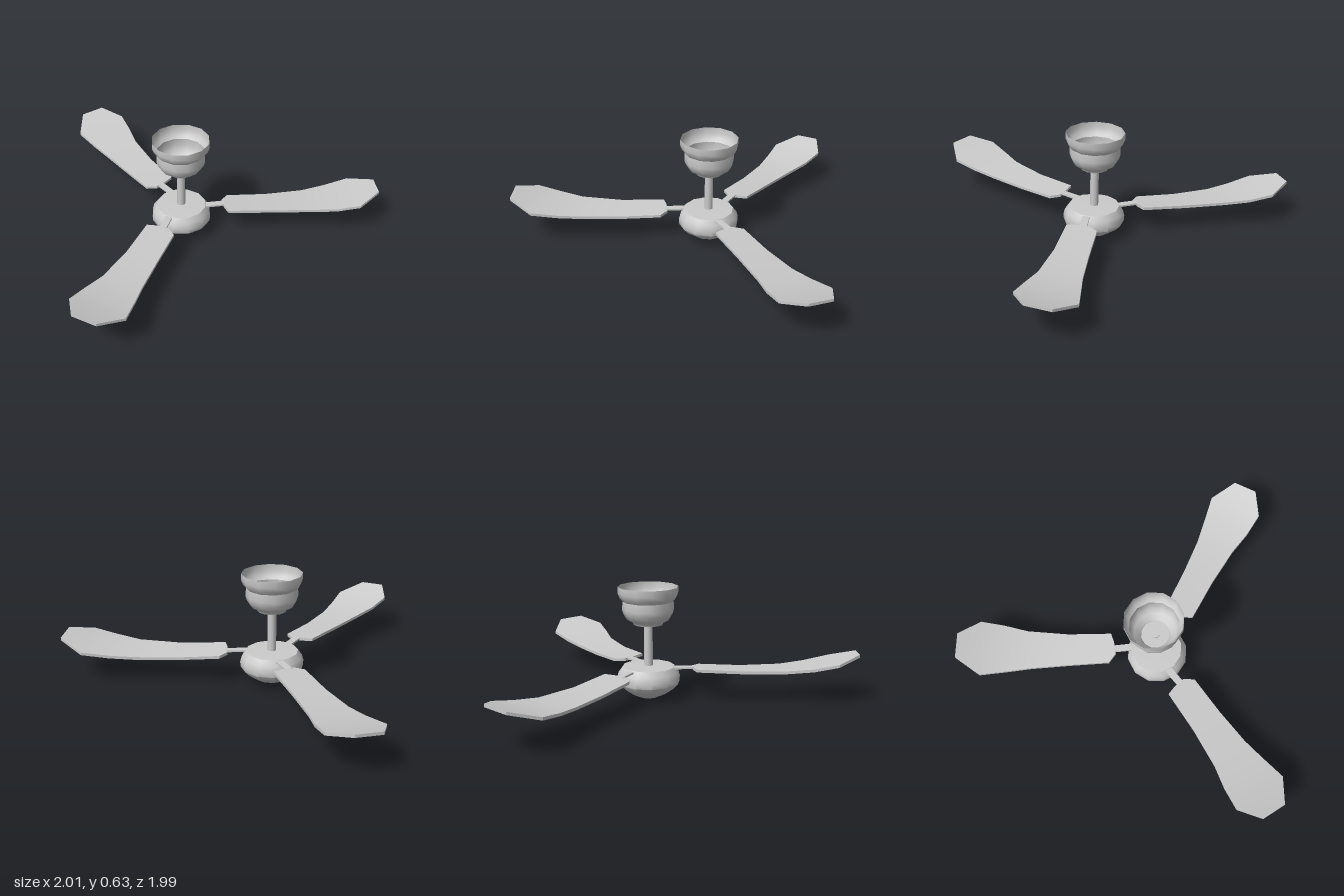
import * as THREE from 'three';
import { toCreasedNormals } from 'three/addons/utils/BufferGeometryUtils.js';

const material = new THREE.MeshStandardMaterial({ color: 0xcccccc, side: THREE.DoubleSide });

function named(name, geometry) {
  const mesh = new THREE.Mesh(geometry, material);
  mesh.name = name;
  return mesh;
}

// Turned part from [radius, height] pairs, listed from the bottom up
function turned(name, profile, sides = 12) {
  const lathe = new THREE.LatheGeometry(profile.map(([r, y]) => new THREE.Vector2(r, y)), sides);
  return named(name, toCreasedNormals(lathe, 0.75));
}

// Thin plate swept outward along z; each station is [leftX, leftZ, rightX, rightZ, y]
function plate(name, stations, thickness, bank, droop) {
  const h = thickness / 2;
  const rings = stations.map(([lx, lz, rx, rz, y]) => {
    const ly = y - bank * (lx + 0.09) - droop * lz;
    const ry = y - bank * (rx + 0.09) - droop * rz;
    return [[lx, ly + h, lz], [rx, ry + h, rz], [rx, ry - h, rz], [lx, ly - h, lz]];
  });
  const positions = [];
  const quad = (a, b, c, d) => positions.push(...a, ...b, ...c, ...a, ...c, ...d);
  for (let i = 0; i < rings.length - 1; i++) {
    for (let k = 0; k < 4; k++) {
      const n = (k + 1) % 4;
      quad(rings[i][k], rings[i + 1][k], rings[i + 1][n], rings[i][n]);
    }
  }
  quad(...rings[0]);
  quad(...[...rings[rings.length - 1]].reverse());
  const geometry = new THREE.BufferGeometry();
  geometry.setAttribute('position', new THREE.Float32BufferAttribute(positions, 3));
  return named(name, toCreasedNormals(geometry, 0.6));
}

// Paddle outline, from the root to the upswept tip
const bladeStations = [
  [-0.08, 0.24, -0.01, 0.24, 0.178],
  [-0.135, 0.25, 0.035, 0.285, 0.177],
  [-0.175, 0.5, 0.01, 0.52, 0.165],
  [-0.23, 0.73, -0.005, 0.74, 0.168],
  [-0.28, 0.86, -0.003, 0.88, 0.183],
  [-0.315, 0.99, 0, 1.03, 0.21],
  [-0.25, 1.125, -0.11, 1.15, 0.25],
];
const armStations = [
  [-0.055, 0.12, -0.015, 0.12, 0.178],
  [-0.062, 0.25, -0.022, 0.25, 0.178],
];

export function createModel() {
  const fan = new THREE.Group();
  fan.name = 'ceilingFan';
  fan.position.set(-0.12, 0, -0.16);

  // Rounded motor bowl with a flat top
  fan.add(turned('motorHousing', [
    [0, 0], [0.05, 0.01], [0.1, 0.033], [0.145, 0.065], [0.174, 0.095],
    [0.175, 0.125], [0.167, 0.155], [0.145, 0.185], [0, 0.19],
  ]));

  // Hanging rod
  const rod = named('downRod', new THREE.CylinderGeometry(0.024, 0.024, 0.25, 10));
  rod.position.y = 0.305;
  fan.add(rod);

  // Hollow stepped cup, open at the ceiling
  fan.add(turned('ceilingCanopy', [
    [0, 0.42], [0.08, 0.42], [0.086, 0.433], [0.118, 0.45], [0.136, 0.48],
    [0.143, 0.505], [0.14, 0.55], [0.156, 0.568], [0.166, 0.595], [0.166, 0.63],
  ]));

  // Three blades with their arms: [angle in degrees, length scale, droop]
  const layout = [[0, 1, 0], [118.7, 1.013, 0.018], [236, 1, 0.018]];
  for (const [angle, length, droop] of layout) {
    const assembly = new THREE.Group();
    assembly.name = 'bladeAssembly';
    assembly.add(plate('blade', bladeStations, 0.016, 0.07, droop));
    assembly.add(plate('bladeArm', armStations, 0.01, 0, droop));
    assembly.rotation.y = THREE.MathUtils.degToRad(angle);
    assembly.scale.z = length;
    fan.add(assembly);
  }

  const model = new THREE.Group();
  model.add(fan);
  return model;
}
